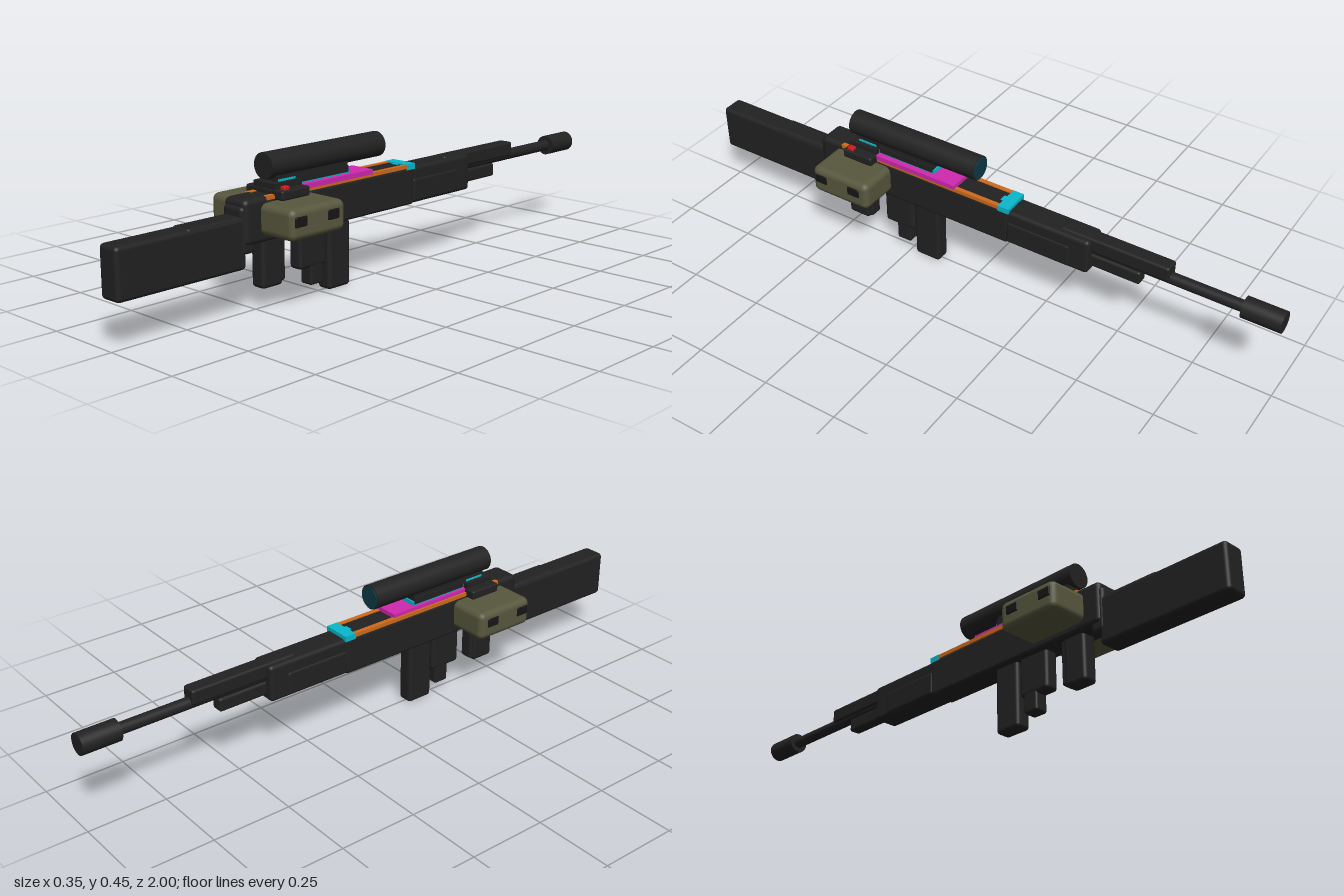
import * as THREE from 'three';
import { RoundedBoxGeometry } from 'three/addons/geometries/RoundedBoxGeometry.js';

const mat = (name, color) => {
  const m = new THREE.MeshStandardMaterial({ color });
  m.name = name;
  return m;
};

export function createModel() {
  const group = new THREE.Group();
  const dark = mat('gunmetal', 0x222222);
  const olive = mat('olive', 0x58583f);
  const orange = mat('orange', 0xd06a1c);
  const magenta = mat('magenta', 0xd028b0);
  const cyan = mat('cyan', 0x08b8cc);
  const glass = mat('dark teal glass', 0x0d3a46);
  const red = mat('red', 0xd01c1c);
  const black = mat('black', 0x161616);

  const add = (name, geometry, material, x, y, z) => {
    const mesh = new THREE.Mesh(geometry, material);
    mesh.name = name;
    mesh.position.set(x, y, z);
    group.add(mesh);
    return mesh;
  };
  // Box from its limits; a radius rounds the edges
  const box = (name, material, [x0, x1], [y0, y1], [z0, z1], r = 0) => {
    const size = [x1 - x0, y1 - y0, z1 - z0];
    const g = r ? new RoundedBoxGeometry(...size, 3, r) : new THREE.BoxGeometry(...size);
    return add(name, g, material, (x0 + x1) / 2, (y0 + y1) / 2, (z0 + z1) / 2);
  };
  // Cylinder lying along z
  const tube = (name, material, r, y, z0, z1) => {
    const g = new THREE.CylinderGeometry(r, r, z1 - z0, 28).rotateX(Math.PI / 2);
    return add(name, g, material, 0, y, (z0 + z1) / 2);
  };
  const wide = (w) => [-w, w];

  // Stock and its collar
  box('stock', dark, wide(0.0375), [0.137, 0.288], [0.56, 1.0], 0.013);
  box('cheekRest', dark, wide(0.035), [0.25, 0.291], [0.55, 0.765], 0.01);
  box('stockCollar', dark, wide(0.04), [0.18, 0.318], [0.53, 0.58], 0.012);

  // Receiver and rear cap
  box('receiver', dark, wide(0.045), [0.207, 0.327], [-0.13, 0.56], 0.01);
  box('rearCap', dark, wide(0.046), [0.205, 0.337], [0.475, 0.572], 0.016);
  box('topDeck', dark, wide(0.031), [0.315, 0.334], [-0.1, 0.5]);

  // Handguard
  box('handguard', dark, wide(0.043), [0.209, 0.326], [-0.405, -0.11], 0.012);
  box('handguardPanel', dark, wide(0.046), [0.212, 0.29], [-0.345, -0.125], 0.01);

  // Barrel group
  tube('barrel', dark, 0.018, 0.284, -0.9, -0.38);
  tube('muzzle', dark, 0.033, 0.284, -1.0, -0.88);
  box('upperTube', dark, wide(0.025), [0.283, 0.331], [-0.655, -0.3], 0.008);
  box('lowerTube', dark, wide(0.02), [0.226, 0.27], [-0.565, -0.38], 0.008);

  // Grip, trigger housing and magazine
  box('grip', dark, wide(0.026), [0.06, 0.225], [0.413, 0.492], 0.012);
  box('gripFront', dark, wide(0.022), [0.07, 0.225], [0.4, 0.43], 0.008);
  box('triggerHousing', dark, wide(0.024), [0.085, 0.225], [0.235, 0.345], 0.012);
  box('trigger', dark, wide(0.023), [0.03, 0.15], [0.249, 0.301], 0.008);
  box('magazine', dark, wide(0.026), [0.0, 0.225], [0.137, 0.228], 0.012);

  // Side pods with paired sockets
  box('sidePods', olive, wide(0.171), [0.227, 0.319], [0.302, 0.513], 0.02);
  for (const side of [-1, 1]) {
    for (const z of [0.478, 0.353]) {
      add('podSocket', new RoundedBoxGeometry(0.012, 0.03, 0.045, 2, 0.004), black, side * 0.168, 0.283, z);
    }
    // Orange strips along the top edges
    const xs = [side * 0.031, side * 0.0455].sort((a, b) => a - b);
    box('sideStrip', orange, xs, [0.325, 0.337], [-0.1, 0.49]);
  }

  // Coloured top plates
  box('frontBand', cyan, wide(0.046), [0.32, 0.338], [-0.133, -0.095]);
  box('bandTongue', cyan, wide(0.012), [0.325, 0.336], [-0.1, -0.085]);
  box('boltPlate', magenta, [-0.039, 0.047], [0.333, 0.348], [0.06, 0.362]);

  // Scope mount
  box('mountBase', dark, wide(0.077), [0.321, 0.35], [0.352, 0.46], 0.006);
  box('mountPlate', dark, wide(0.045), [0.348, 0.366], [0.354, 0.458]);
  box('mountInlay', cyan, wide(0.029), [0.346, 0.361], [0.145, 0.36]);
  box('mountRail', dark, wide(0.031), [0.352, 0.372], [0.15, 0.35]);
  box('mountNeck', dark, wide(0.027), [0.362, 0.392], [0.15, 0.435]);
  box('mountClip', cyan, wide(0.03), [0.366, 0.372], [0.365, 0.43]);
  box('button', red, [0.053, 0.071], [0.345, 0.36], [0.425, 0.447], 0.003);

  // Scope with its lens
  tube('scope', dark, 0.039, 0.412, -0.004, 0.46);
  tube('scopeLens', glass, 0.035, 0.412, -0.007, -0.001);

  return group;
}
